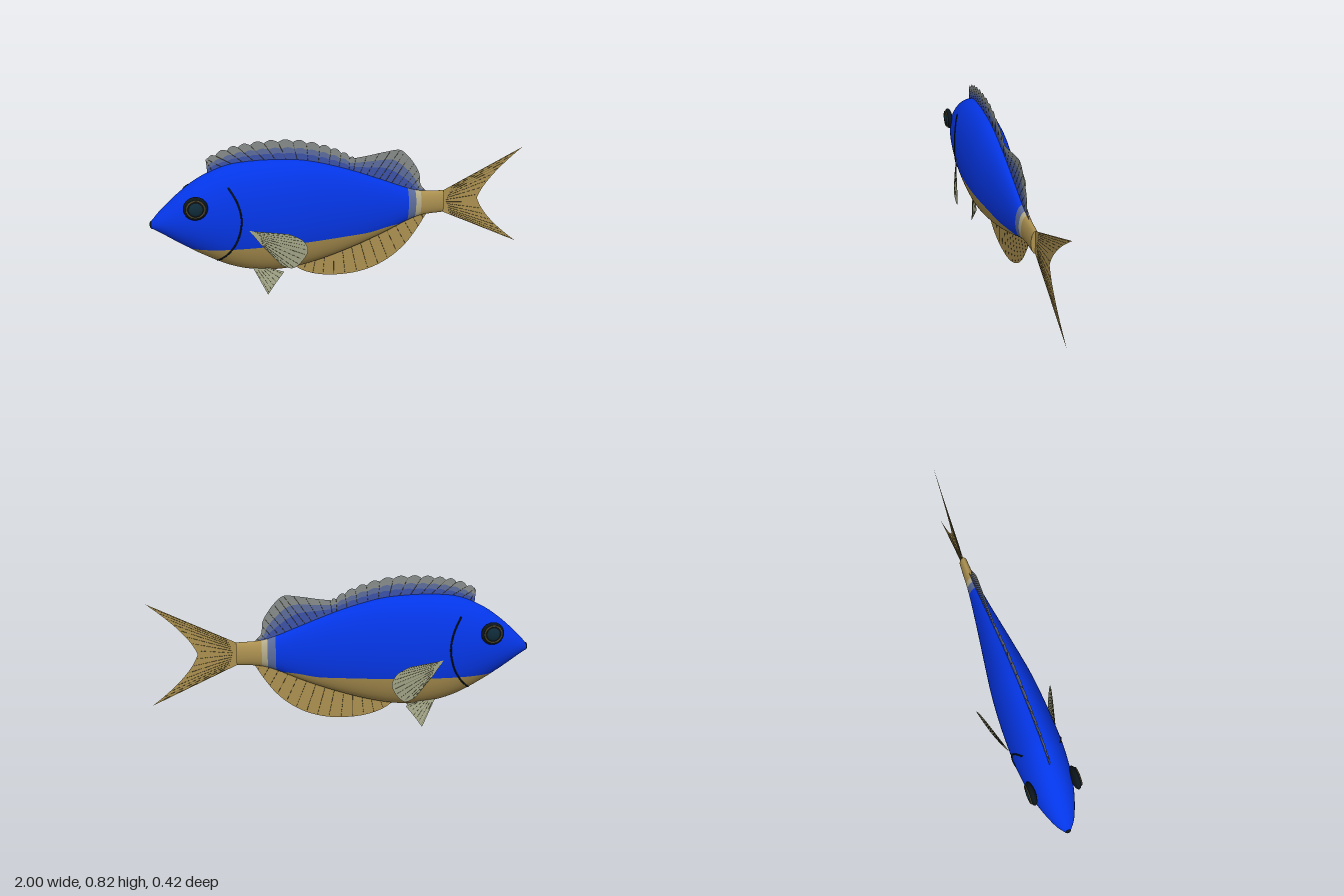
import * as THREE from 'three';
import { mergeGeometries } from 'three/addons/utils/BufferGeometryUtils.js';

const mat = (name, color, side = THREE.FrontSide) => {
  const m = new THREE.MeshStandardMaterial({ color, side });
  m.name = name;
  return m;
};
const V = (x, y, z = 0) => new THREE.Vector3(x, y, z);
const curve = (pts) => new THREE.CatmullRomCurve3(pts.map((p) => V(...p)));

// Body stations: x, top, bottom, half width
const stations = [
  [-0.995, 0.435, 0.405, 0.012], [-0.95, 0.485, 0.378, 0.047], [-0.85, 0.575, 0.308, 0.088],
  [-0.75, 0.645, 0.243, 0.112], [-0.62, 0.7, 0.172, 0.126], [-0.5, 0.715, 0.134, 0.128],
  [-0.35, 0.714, 0.118, 0.123], [-0.2, 0.698, 0.135, 0.111], [0, 0.642, 0.188, 0.083],
  [0.2, 0.566, 0.26, 0.054], [0.35, 0.506, 0.325, 0.035], [0.43, 0.485, 0.348, 0.028],
  [0.56, 0.477, 0.355, 0.021],
];

// Smooth value of one station column at x
function profile(x, col) {
  const n = stations.length;
  let i = 0;
  while (i < n - 2 && x > stations[i + 1][0]) i++;
  const slope = (k) => {
    const a = stations[Math.max(k - 1, 0)], b = stations[Math.min(k + 1, n - 1)];
    return (b[col] - a[col]) / (b[0] - a[0]);
  };
  const [p, q] = [stations[i], stations[i + 1]];
  const d = q[0] - p[0], t = (x - p[0]) / d, t2 = t * t, t3 = t2 * t;
  return (2 * t3 - 3 * t2 + 1) * p[col] + (t3 - 2 * t2 + t) * d * slope(i)
    + (3 * t2 - 2 * t3) * q[col] + (t3 - t2) * d * slope(i + 1);
}
const top = (x) => profile(x, 1), bottom = (x) => profile(x, 2);
const mid = (x) => (top(x) + bottom(x)) / 2, half = (x) => (top(x) - bottom(x)) / 2;

// Point on the skin; angle 0 is the belly line, PI the back
const skin = (x, a) => V(x, mid(x) - half(x) * Math.cos(a), profile(x, 3) * Math.sin(a));
const sideZ = (x, y) => profile(x, 3) * Math.sqrt(Math.max(0, 1 - ((y - mid(x)) / half(x)) ** 2));

// Angle at which belly colour meets the back colour
function split(x) {
  const y = 0.29 + 0.022 * THREE.MathUtils.smoothstep(x, 0.1, 0.28);
  return Math.acos(THREE.MathUtils.clamp((mid(x) - y) / half(x), -1, 1));
}

// Indexed sheet from a function of (u, v)
function sheet(fn, nu, nv, normalFn) {
  const pos = [], nor = [], idx = [];
  for (let i = 0; i <= nu; i++) for (let j = 0; j <= nv; j++) {
    pos.push(...fn(i / nu, j / nv).toArray());
    if (normalFn) nor.push(...normalFn(i / nu, j / nv).toArray());
  }
  for (let i = 0; i < nu; i++) for (let j = 0; j < nv; j++) {
    const a = i * (nv + 1) + j, b = a + nv + 1;
    idx.push(a, b, b + 1, a, b + 1, a + 1);
  }
  const g = new THREE.BufferGeometry();
  g.setAttribute('position', new THREE.Float32BufferAttribute(pos, 3));
  g.setIndex(idx);
  if (normalFn) g.setAttribute('normal', new THREE.Float32BufferAttribute(nor, 3));
  else g.computeVertexNormals();
  return g;
}

// Section of skin between x0 and x1, between two angles given per x
function skinPatch(x0, x1, from, to, nx, na) {
  const at = (u, v) => {
    const x = x0 + (x1 - x0) * u;
    return [x, from(x) + (to(x) - from(x)) * v];
  };
  const e = 0.002;
  return sheet((u, v) => skin(...at(u, v)), nx, na, (u, v) => {
    const [x, a] = at(u, v);
    const dx = skin(x + e, a).sub(skin(x - e, a));
    return dx.cross(skin(x, a + e).sub(skin(x, a - e))).normalize();
  });
}

// Thin fin ray between two points
function ray(a, b, r = 0.001) {
  const d = b.clone().sub(a);
  const g = new THREE.CylinderGeometry(r * 0.7, r, d.length(), 4, 1);
  g.applyQuaternion(new THREE.Quaternion().setFromUnitVectors(V(0, 1), d.normalize()));
  return g.translate(...a.clone().add(b).multiplyScalar(0.5).toArray());
}

export function createModel() {
  const group = new THREE.Group();
  const D = THREE.DoubleSide;
  const blue = mat('back blue', 0x0436e8), gold = mat('belly and fin gold', 0xab9050, D);
  const slate = mat('slate', 0x5c6c9c, D), pale = mat('tail cream', 0xb5ad8a);
  const finGrey = mat('fin grey', 0x868b8a, D), finBlue = mat('fin blue', 0x3c52a6, D);
  const finPale = mat('fin pale olive', 0xa5a889, D), dark = mat('dark', 0x0b151b);
  const rayMat = mat('fin ray', 0x4a4429), pupilMat = mat('pupil teal', 0x0f2c3a);

  const add = (name, geometry, material, parent = group) => {
    const m = new THREE.Mesh(geometry, material);
    m.name = name;
    parent.add(m);
    return m;
  };

  // Fin spanned from a base curve to an edge curve, coloured in bands, with rays
  function fin(name, base, edge, bands, rays, rayStart = 0.06) {
    const g = new THREE.Group();
    g.name = name;
    const at = (u, v) => base(u).lerp(edge(u), v);
    let v0 = 0;
    for (const [v1, m] of bands) {
      const a = v0;
      add(name + 'Web', sheet((u, v) => at(u, a + (v1 - a) * v), 112, 3), m, g);
      v0 = v1;
    }
    const list = [];
    for (let i = 0; i < rays; i++) {
      const u = (i + 0.5) / rays;
      list.push(ray(at(u, rayStart), at(u, 0.96)));
    }
    add(name + 'Rays', mergeGeometries(list), rayMat, g);
    group.add(g);
  }
  const along = (pts) => { const c = curve(pts); return (u) => c.getPoint(u); };

  // Body
  const over = (x) => 2 * Math.PI - split(x), under = (x) => -split(x);
  const none = () => 0, full = () => 2 * Math.PI;
  add('back', skinPatch(-0.995, 0.345, split, over, 110, 48), blue);
  add('belly', skinPatch(-0.995, 0.345, under, split, 110, 24), gold);
  add('tailBandDark', skinPatch(0.345, 0.388, none, full, 3, 48), slate);
  add('tailBandPale', skinPatch(0.388, 0.418, none, full, 3, 48), pale);
  add('tailStem', skinPatch(0.418, 0.55, none, full, 8, 48), gold);
  const cap = add('tailStemEnd', new THREE.CircleGeometry(1, 32), gold);
  cap.rotation.y = Math.PI / 2;
  cap.scale.set(profile(0.55, 3), half(0.55), 1);
  cap.position.set(0.55, mid(0.55), 0);

  // Mouth
  const mouth = add('mouth', new THREE.SphereGeometry(1, 16, 12), dark);
  mouth.scale.set(0.012, 0.022, 0.016);
  mouth.position.set(-0.988, 0.422, 0);

  // Eyes and gill lines on both sides
  for (const s of [1, -1]) {
    const eye = new THREE.Group();
    eye.name = s > 0 ? 'frontEye' : 'backEye';
    const ball = add('eyeRim', new THREE.SphereGeometry(0.06, 32, 20), dark, eye);
    ball.scale.z = 0.36;
    add('eyeRing', new THREE.TorusGeometry(0.043, 0.005, 8, 36), rayMat, eye).position.z = 0.0155;
    const pupil = add('pupil', new THREE.SphereGeometry(0.037, 28, 16), pupilMat, eye);
    pupil.scale.z = 0.36;
    pupil.position.z = 0.0115;
    eye.position.set(-0.775, 0.527, s * 0.113);
    if (s < 0) eye.rotation.y = Math.PI;
    group.add(eye);

    const gill = curve([[-0.61, 0.615], [-0.572, 0.54], [-0.556, 0.45], [-0.577, 0.35], [-0.62, 0.275], [-0.68, 0.212]]);
    const pts = gill.getPoints(24).map((p) => V(p.x, p.y, s * sideZ(p.x, p.y)));
    add('gillLine', new THREE.TubeGeometry(new THREE.CatmullRomCurve3(pts), 48, 0.0045, 6), dark);
  }

  // Spiny dorsal fin with a scalloped edge
  const backLine = (x0, x1) => (u) => { const x = x0 + (x1 - x0) * u; return V(x, top(x) - 0.012); };
  const spiny = along([[-0.705, 0.725], [-0.69, 0.738], [-0.6, 0.777], [-0.5, 0.795], [-0.38, 0.803],
    [-0.25, 0.797], [-0.13, 0.768], [-0.03, 0.73], [0.05, 0.685]]);
  fin('spinyDorsalFin', backLine(-0.7, 0.05),
    (u) => { const p = spiny(u); p.y += 0.014 * Math.abs(Math.cos(u * Math.PI * 14)); return p; },
    [[0.4, finBlue], [0.65, slate], [1, finGrey]], 14);

  // Soft dorsal fin
  fin('softDorsalFin', backLine(0.03, 0.44), along([[0.03, 0.69], [0.12, 0.7], [0.22, 0.715], [0.3, 0.72],
    [0.335, 0.695], [0.38, 0.64], [0.41, 0.585], [0.42, 0.52], [0.45, 0.485]]),
  [[0.4, finBlue], [0.68, slate], [1, finGrey]], 12);

  // Anal fin
  fin('analFin', (u) => { const x = -0.28 + 0.73 * u; return V(x, bottom(x) + 0.012); },
    along([[-0.285, 0.128], [-0.22, 0.085], [-0.13, 0.055], [-0.03, 0.044], [0.08, 0.05], [0.18, 0.077],
      [0.27, 0.125], [0.35, 0.195], [0.41, 0.275], [0.455, 0.348]]), [[1, gold]], 15);

  // Forked tail fin
  const fork = new THREE.CurvePath();
  fork.add(new THREE.QuadraticBezierCurve3(V(1, 0.14), V(0.79, 0.3), V(0.75, 0.418)));
  fork.add(new THREE.QuadraticBezierCurve3(V(0.75, 0.418), V(0.79, 0.53), V(1, 0.69)));
  fin('tailFin', (u) => V(0.545, 0.357 + 0.118 * u), (u) => fork.getPoint(u), [[1, gold]], 16, 0.12);

  // Paired pectoral and pelvic fins
  const pecEdge = along([[-0.33, 0.378], [-0.265, 0.345], [-0.24, 0.295], [-0.265, 0.235], [-0.315, 0.188],
    [-0.37, 0.203]]);
  const pelEdge = along([[-0.34, 0.118], [-0.39, 0.055], [-0.43, 0.0]]);
  for (const s of [1, -1]) {
    const flare = (p) => { p.z = s * (0.128 + 0.29 * (p.x + 0.52) - 0.1 * Math.max(0, 0.3 - p.y)); return p; };
    fin('pectoralFin', (u) => flare(V(-0.52 + 0.05 * u, 0.392 - 0.07 * u)), (u) => flare(pecEdge(u)),
      [[1, finPale]], 11, 0.12);
    const hang = (p) => { p.z = s * (0.067 - 0.14 * p.y + 0.07 * (p.x + 0.43)); return p; };
    fin('pelvicFin', (u) => hang(V(-0.43 - 0.07 * u, 0.15)), (u) => hang(pelEdge(u)), [[1, finPale]], 6, 0.12);
  }
  return group;
}
